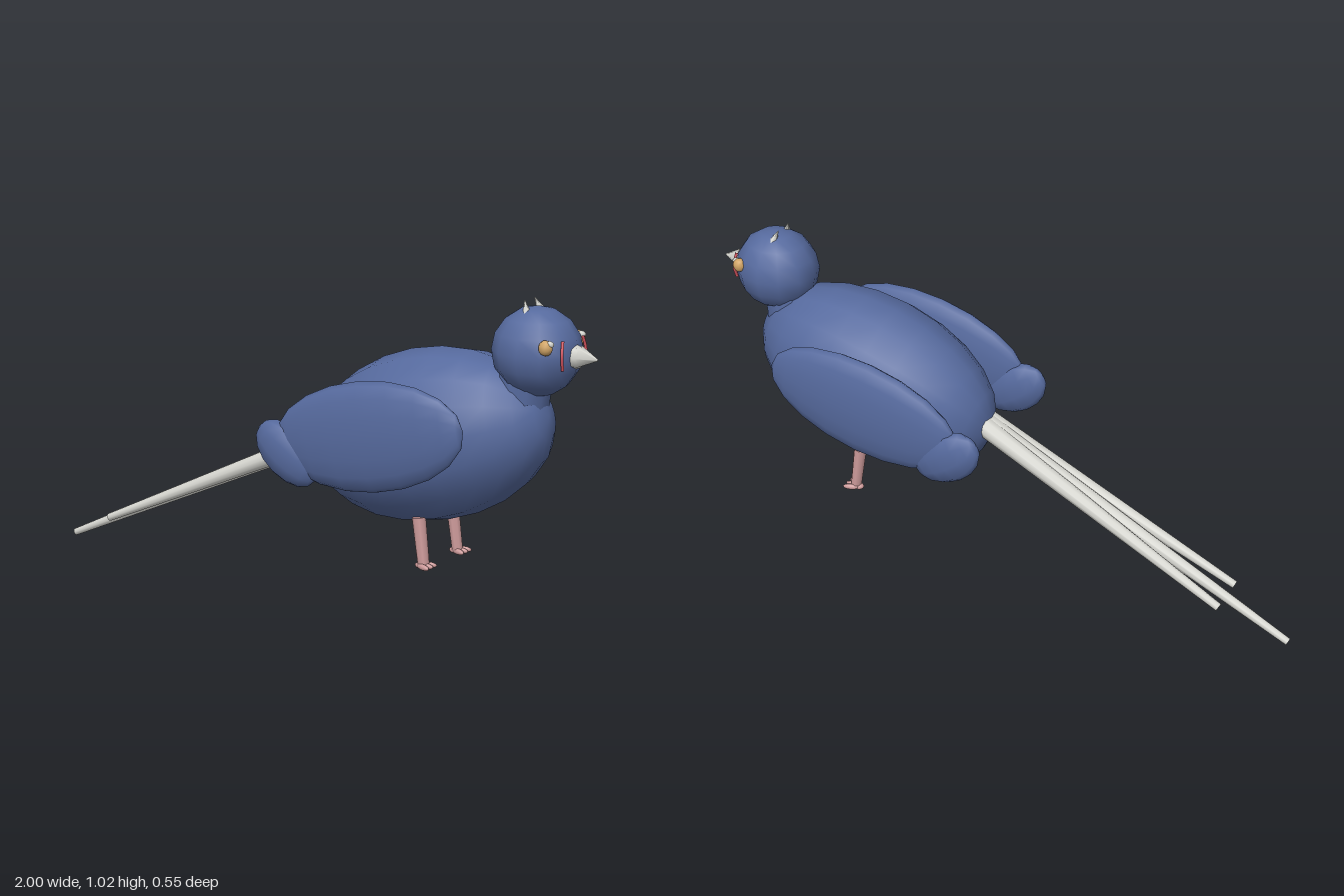
import * as THREE from 'three';

const mat = (name, color) => {
  const m = new THREE.MeshStandardMaterial({ color });
  m.name = name;
  return m;
};

export function createModel() {
  const plumage = mat('blue plumage', 0x566a9e);
  const horn = mat('pale grey', 0xd6d6d0);
  const amber = mat('amber', 0xd2a566);
  const skin = mat('pink skin', 0xcf9c9c);
  const red = mat('red', 0xd85560);
  const bird = new THREE.Group();
  bird.name = 'bird';

  const add = (name, geometry, material) => {
    const mesh = new THREE.Mesh(geometry, material);
    mesh.name = name;
    bird.add(mesh);
    return mesh;
  };
  // Ellipsoid with its poles on the long axis, tilted about z
  const blob = (name, material, pos, radii, tilt = 0, w = 14, h = 10) => {
    const g = new THREE.SphereGeometry(1, w, h).rotateZ(-Math.PI / 2);
    const mesh = add(name, g, material);
    mesh.scale.set(...radii);
    mesh.position.set(...pos);
    mesh.rotation.z = tilt;
    return mesh;
  };
  // Tapered rod running from point a to point b
  const rod = (name, material, a, b, ra, rb, sides = 8) => {
    const from = new THREE.Vector3(...a), to = new THREE.Vector3(...b);
    const dir = to.clone().sub(from);
    const mesh = add(name, new THREE.CylinderGeometry(rb, ra, dir.length(), sides), material);
    mesh.position.copy(from).add(to).multiplyScalar(0.5);
    mesh.quaternion.setFromUnitVectors(new THREE.Vector3(0, 1, 0), dir.normalize());
    return mesh;
  };

  // Body, neck and head
  blob('body', plumage, [0.443, 0.57, 0], [0.42, 0.265, 0.223], 0.268, 16, 12);
  rod('neck', plumage, [0.745, 0.66, 0], [0.77, 0.82, 0], 0.087, 0.08, 10);
  const head = add('head', new THREE.SphereGeometry(0.133, 12, 8), plumage);
  head.position.set(0.803, 0.87, 0);
  head.scale.set(1.03, 1, 0.93);

  // Beak
  blob('beakBase', horn, [0.932, 0.868, 0], [0.026, 0.036, 0.036], 0, 8, 6);
  rod('beak', horn, [0.94, 0.868, 0], [1, 0.866, 0], 0.034, 0.003, 6);

  // Tail feathers
  rod('middleTailFeather', horn, [0.06, 0.505, 0], [-0.995, 0.013, 0], 0.035, 0.012, 10);

  for (const s of [1, -1]) {
    const side = s > 0 ? 'left' : 'right';
    const zSide = -s; // the bird faces +x
    const z = (v) => v * zSide;
    rod(side + 'TailFeather', horn, [0.06, 0.507, z(0.018)], [-0.785, 0.116, z(0.065)], 0.033, 0.013, 10);

    // Wing with rounded tip
    blob(side + 'Wing', plumage, [0.365, 0.595, z(0.228)], [0.338, 0.168, 0.047], 0.19, 16, 10);
    blob(side + 'WingTip', plumage, [0.073, 0.502, z(0.227)], [0.126, 0.085, 0.04], -0.6, 10, 8);

    // Eye with a small highlight
    blob(side + 'Eye', amber, [0.884, 0.903, z(0.096)], [0.021, 0.023, 0.019], 0, 10, 8);
    blob(side + 'EyeHighlight', horn, [0.896, 0.914, z(0.093)], [0.012, 0.011, 0.012], 0, 8, 6);

    // Cheek stripe
    const stripe = new THREE.CatmullRomCurve3([
      new THREE.Vector3(0.918, 0.92, z(0.058)),
      new THREE.Vector3(0.923, 0.878, z(0.07)),
      new THREE.Vector3(0.921, 0.836, z(0.06)),
    ]);
    add(side + 'CheekStripe', new THREE.TubeGeometry(stripe, 8, 0.0049, 6), red);

    // Head tuft
    rod(side + 'Tuft', horn, [0.79, 0.98, z(0.042)], [0.774, 1.02, z(0.028)], 0.014, 0.001, 6);

    // Leg and toes
    rod(side + 'Leg', skin, [0.465, 0.335, z(0.094)], [0.485, 0.19, z(0.096)], 0.021, 0.018, 8);
    for (const t of [-1, 0, 1]) {
      const tz = z(0.099) + t * 0.016;
      blob(side + 'Toe', skin, [0.495, 0.188, tz], [0.026, 0.01, 0.009], 0, 8, 6).rotation.y = -t * 0.3;
    }
    blob(side + 'Heel', skin, [0.475, 0.187, z(0.097)], [0.018, 0.01, 0.016], 0, 8, 6);
  }
  return bird;
}
